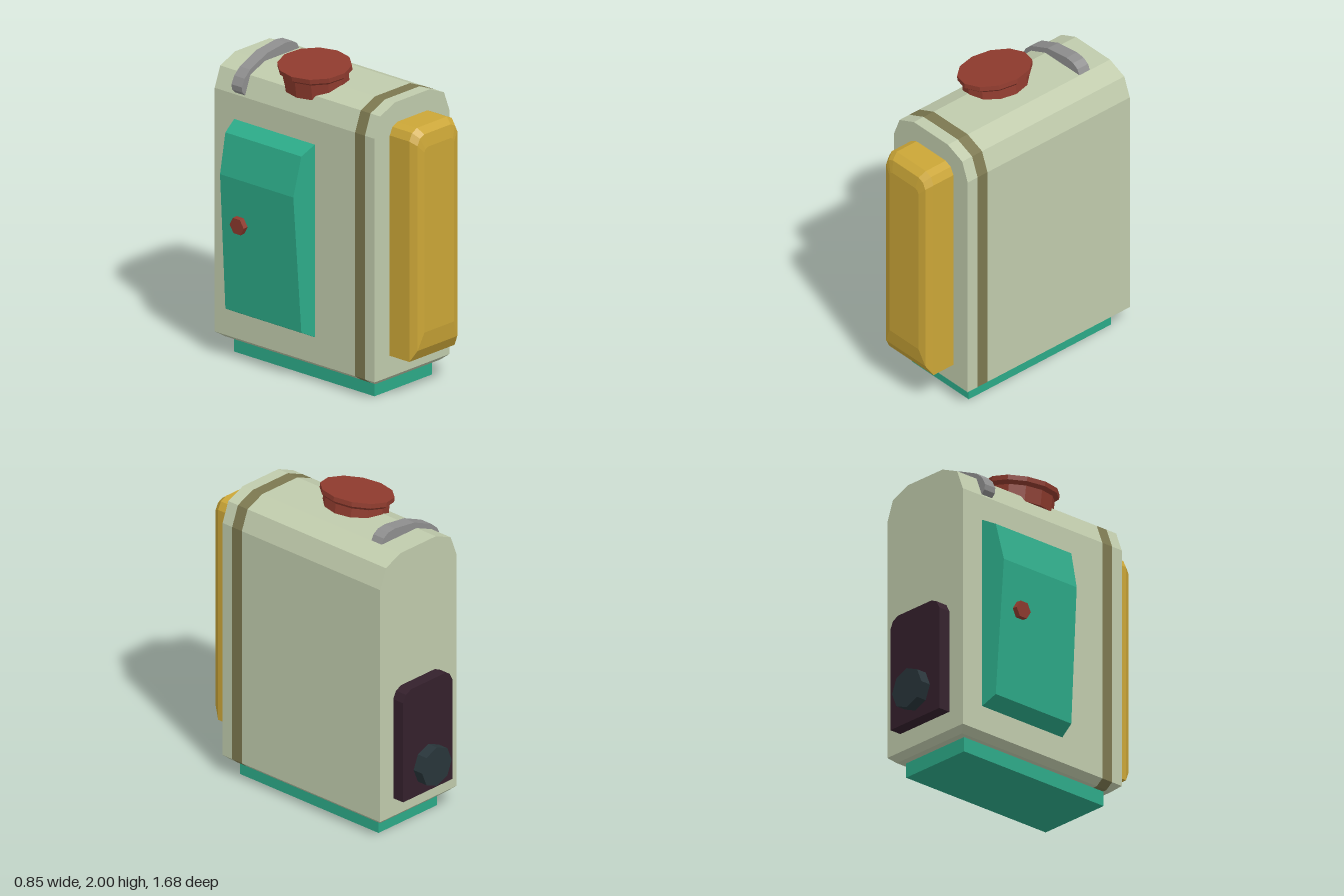
import * as THREE from 'three';

const paint = (name, color) => {
  const m = new THREE.MeshStandardMaterial({ color, flatShading: true });
  m.name = name;
  return m;
};

// Skin between convex cross-sections (counter-clockwise seen from +z), capped at both ends.
// segmentMats gives a material index for each segment.
function loft(rings, segmentMats = []) {
  const geo = new THREE.BufferGeometry();
  const pos = [];
  const tri = (...pts) => pts.forEach((p) => pos.push(...p));
  const group = (start, mat) => geo.addGroup(start, pos.length / 3 - start, mat);
  const n = rings[0].length;
  const first = rings[0];
  const last = rings[rings.length - 1];
  for (let i = 1; i < n - 1; i++) {
    tri(first[0], first[i + 1], first[i]);
    tri(last[0], last[i], last[i + 1]);
  }
  group(0, 0);
  for (let s = 0; s < rings.length - 1; s++) {
    const start = pos.length / 3;
    for (let i = 0; i < n; i++) {
      const j = (i + 1) % n;
      const [a, b, c, d] = [rings[s][i], rings[s][j], rings[s + 1][j], rings[s + 1][i]];
      tri(a, b, c);
      tri(a, c, d);
    }
    group(start, segmentMats[s] ?? 0);
  }
  geo.setAttribute('position', new THREE.Float32BufferAttribute(pos, 3));
  geo.computeVertexNormals();
  return geo;
}

const atZ = (outline, z) => outline.map(([x, y]) => [x, y, z]);

// Upright panel outline with square bottom corners and two-step chamfered top corners
const panelOutline = (x0, x1, y0, y1, c) => [
  [x0, y0], [x1, y0],
  [x1, y1 - c], [x1 - c * 0.35, y1 - c * 0.3], [x1 - c, y1],
  [x0 + c, y1], [x0 + c * 0.35, y1 - c * 0.3], [x0, y1 - c],
];

export function createModel() {
  const model = new THREE.Group();
  const sage = paint('sage', 0xc0cbac);
  const olive = paint('olive', 0x7c7850);
  const yellow = paint('mustard', 0xcba637);
  const green = paint('green', 0x2caa88);
  const red = paint('brick red', 0x8f3b2e);
  const grey = paint('grey', 0x8f8f8f);
  const plum = paint('plum', 0x34202c);
  const slate = paint('slate', 0x28353a);

  const add = (name, geometry, material) => {
    const mesh = new THREE.Mesh(geometry, material);
    mesh.name = name;
    model.add(mesh);
    return mesh;
  };

  // Body with bevelled shoulders, chamfered foot and a painted band
  const upper = [
    [0.42, 0.13], [0.42, 1.7], [0.37, 1.83], [0.24, 1.885],
    [-0.07, 1.885], [-0.2, 1.83], [-0.25, 1.7], [-0.25, 0.13],
  ];
  const full = [[-0.2, 0.095], [0.38, 0.095], ...upper];
  const end = [[-0.25, 0.13], [0.42, 0.13], ...upper];
  add('body', loft([
    atZ(end, -0.69), atZ(full, -0.65), atZ(full, 0.46),
    atZ(full, 0.54), atZ(full, 0.58), atZ(end, 0.62),
  ], [0, 0, 1, 0, 0]), [sage, olive]);

  // Pedestal
  const base = add('pedestal', new THREE.BoxGeometry(0.515, 0.1, 1.15), green);
  base.position.set(0.0875, 0.05, -0.03);

  // Front pouch with rounded-off face
  add('frontPouch', loft([
    atZ(panelOutline(-0.115, 0.29, 0.265, 1.755, 0.07), 0.615),
    atZ(panelOutline(-0.115, 0.29, 0.265, 1.755, 0.07), 0.78),
    atZ(panelOutline(-0.09, 0.265, 0.34, 1.72, 0.06), 0.825),
    atZ(panelOutline(-0.045, 0.22, 0.45, 1.64, 0.03), 0.84),
  ]), yellow);

  // Side pod, its ends tapering away from the body
  const pod = [[-0.24, 0.293], [-0.24, 1.545], [-0.35, 1.485], [-0.41, 1.235], [-0.35, 0.35]];
  const podEnd = (sign) => pod.map(([x, y]) => [x, y, -0.2 + sign * (0.33 + (x + 0.25) * 0.1875)]);
  add('sidePod', loft([podEnd(-1), podEnd(1)]), green);

  // Button on the pod
  const button = add('podButton', new THREE.CylinderGeometry(0.058, 0.058, 0.04, 6), red);
  button.position.set(-0.405, 0.94, -0.35);
  button.rotation.z = Math.PI / 2 + 0.07;

  // Back plate and dial
  const plate = panelOutline(-0.13, 0.305, 0.25, 0.99, 0.07);
  add('backPlate', loft([atZ(plate, -0.772), atZ(plate, -0.685)]), plum);
  const dial = add('backDial', new THREE.CylinderGeometry(0.13, 0.13, 0.08, 8), slate);
  dial.position.set(0.083, 0.435, -0.803);
  dial.rotation.x = Math.PI / 2;

  // Tilted oval cap on a short neck
  const capProfile = [[0, -0.15], [0.89, -0.15], [0.89, -0.05], [1, -0.03], [1, 0], [0, 0]]
    .map(([r, y]) => new THREE.Vector2(r, y));
  const cap = add('cap', new THREE.LatheGeometry(capProfile, 12), red);
  cap.scale.set(0.208, 1, 0.245);
  cap.position.set(-0.072, 1.971, -0.035);
  cap.rotation.z = 0.14;

  // Carry handle wrapped over the shoulder
  const handle = [
    [0.24, 1.88], [0.22, 1.92], [0.18, 1.945], [0.12, 1.952], [-0.05, 1.93],
    [-0.2, 1.865], [-0.25, 1.82], [-0.275, 1.77], [-0.27, 1.735], [-0.245, 1.71],
  ];
  add('handle', loft([atZ(handle, -0.53), atZ(handle, -0.445)]), grey);

  return model;
}
